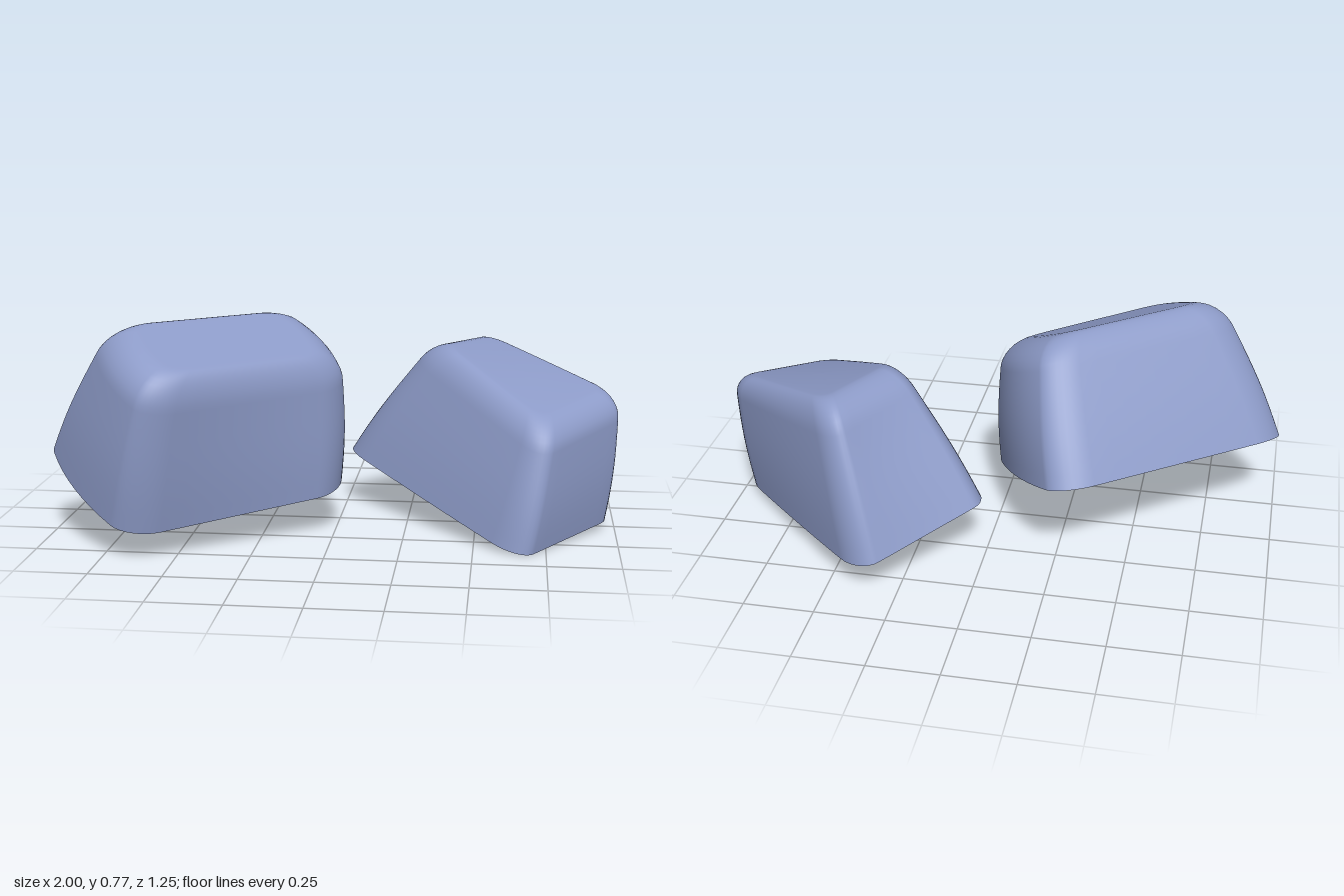
import * as THREE from 'three';

const SIDE_STEPS = 8, CORNER_STEPS = 8, CORNER = 0.28;

// Rounded square outline in [-1, 1], counter-clockwise seen from above (v points to the front)
function outline() {
  const pts = [];
  const centres = [[1, -1], [-1, -1], [-1, 1], [1, 1]];
  centres.forEach(([cu, cv], k) => {
    const start = k * Math.PI / 2;
    for (let i = 0; i <= CORNER_STEPS; i++) {
      const a = start + (i / CORNER_STEPS) * Math.PI / 2;
      pts.push([cu * (1 - CORNER) + CORNER * Math.cos(a), cv * (1 - CORNER) - CORNER * Math.sin(a)]);
    }
    // Straight run towards the next corner
    const a = start + Math.PI / 2, [nu, nv] = centres[(k + 1) % 4];
    const from = pts[pts.length - 1];
    const to = [nu * (1 - CORNER) + CORNER * Math.cos(a), nv * (1 - CORNER) - CORNER * Math.sin(a)];
    for (let i = 1; i < SIDE_STEPS; i++) {
      const f = i / SIDE_STEPS;
      pts.push([from[0] + (to[0] - from[0]) * f, from[1] + (to[1] - from[1]) * f]);
    }
  });
  return pts;
}

// Rows of [scale, height]: flat base, sharp rim, gently bulging wall, rounded shoulder, flat top
function sectionRows(shoulder, drop) {
  const rows = [[0, 0], [0.5, 0], [1, 0], [1, 0]];
  const wallTop = 1 - drop;
  for (let i = 1; i <= 8; i++) {
    const t = (i / 8) * wallTop;
    rows.push([1 + 0.02 * Math.sin(Math.PI * i / 8), t]);
  }
  for (let i = 1; i <= 8; i++) {
    const a = (i / 8) * Math.PI / 2;
    rows.push([1 - shoulder * (1 - Math.cos(a)), wallTop + drop * Math.sin(a)]);
  }
  for (const f of [0.8, 0.6, 0.4, 0.2, 0]) rows.push([(1 - shoulder) * f, 1]);
  return rows;
}

// Corners run back-start, front-start, front-end, back-end
function onQuad(q, u, v) {
  const a = (u + 1) / 2, b = (v + 1) / 2;
  const back = q[0].clone().lerp(q[3], a), front = q[1].clone().lerp(q[2], a);
  return back.lerp(front, b);
}

// A soft-edged stone between a base quad and a top quad; bow rounds out its two ends
function stone(name, { base, top, shoulder, drop, bow }, material) {
  const lo = base.map(p => new THREE.Vector3(...p)), hi = top.map(p => new THREE.Vector3(...p));
  const ring = outline(), n = ring.length, rows = sectionRows(shoulder, drop);
  const positions = [], index = [];
  rows.forEach(([s, t], r) => {
    ring.forEach(([u, v], i) => {
      const su = u * s * (1 + bow * (1 - v * v)), sv = v * s;
      const p = onQuad(lo, su, sv).lerp(onQuad(hi, su, sv), t);
      positions.push(p.x, p.y, p.z);
      if (r === 0 || r === 3) return; // rows 2 and 3 coincide, which keeps the rim sharp
      const j = (i + 1) % n, a = (r - 1) * n, b = r * n;
      index.push(a + i, a + j, b + j, a + i, b + j, b + i);
    });
  });
  const geometry = new THREE.BufferGeometry();
  geometry.setAttribute('position', new THREE.Float32BufferAttribute(positions, 3));
  geometry.setIndex(index);
  geometry.computeVertexNormals();
  const mesh = new THREE.Mesh(geometry, material);
  mesh.name = name;
  return mesh;
}

export function createModel() {
  const group = new THREE.Group();
  group.name = 'stonePair';
  const material = new THREE.MeshStandardMaterial({ color: 0x8d9bc8 });

  // Larger stone, tipped towards the front
  group.add(stone('rightStone', {
    base: [[-1.03, 0.32, 0.2], [-0.64, 0.08, 0.63], [0.04, 0.14, 0.17], [-0.29, 0.35, -0.41]],
    top: [[-0.76, 0.78, 0.36], [-0.54, 0.62, 0.67], [0.04, 0.62, 0.16], [-0.19, 0.78, -0.09]],
    shoulder: 0.28, drop: 0.22, bow: 0.11,
  }, material));

  // Smaller stone, its back end higher than its front end
  group.add(stone('leftStone', {
    base: [[-0.02, 0.21, -0.25], [0.66, -0.01, 0.43], [1.0, 0.03, 0.0], [0.36, 0.11, -0.66]],
    top: [[0.32, 0.66, -0.12], [0.74, 0.41, 0.34], [1.04, 0.49, -0.02], [0.5, 0.64, -0.48]],
    shoulder: 0.26, drop: 0.2, bow: 0.02,
  }, material));

  return group;
}
